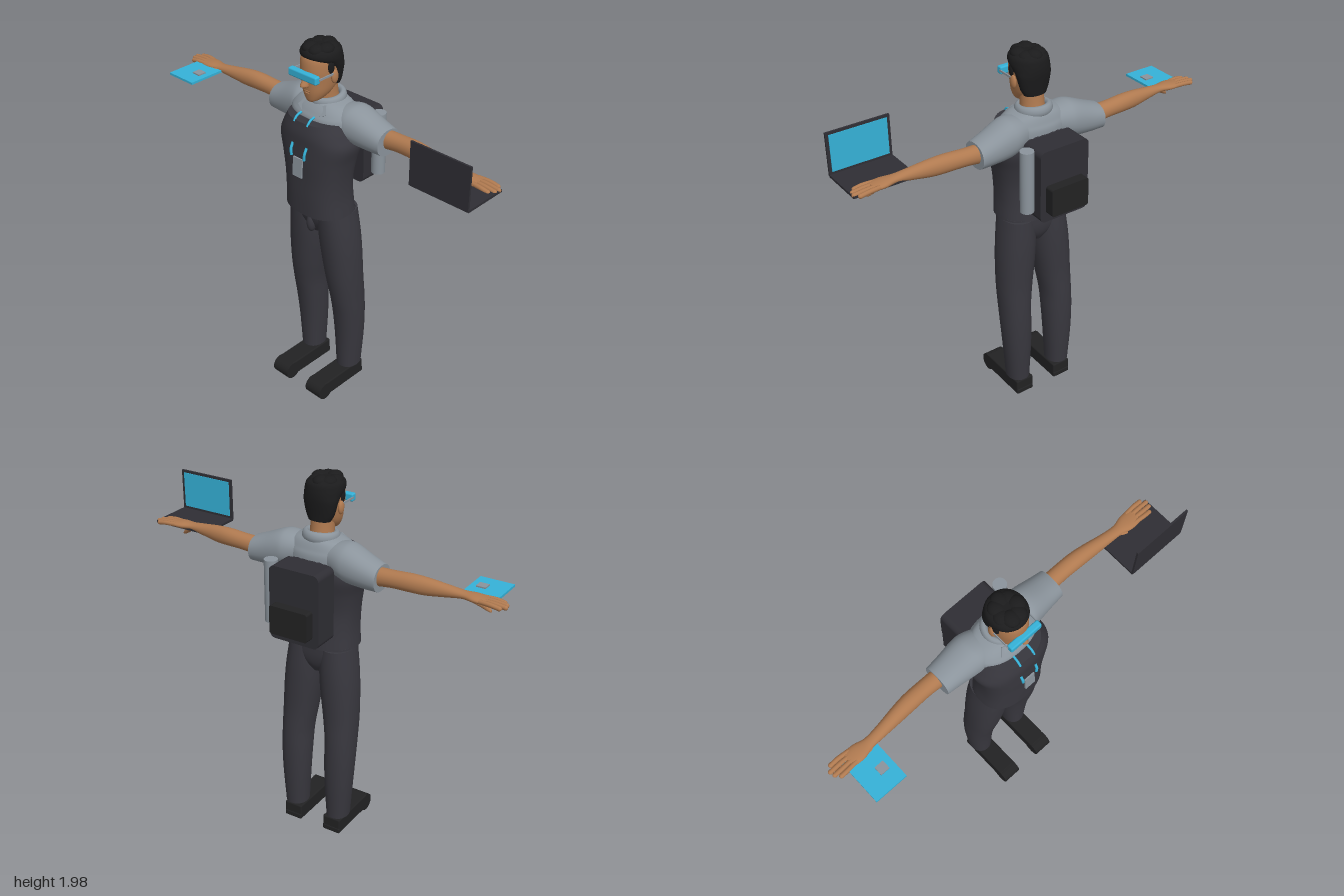
import * as THREE from 'three';
import { RoundedBoxGeometry } from 'three/addons/geometries/RoundedBoxGeometry.js';
import { mergeVertices } from 'three/addons/utils/BufferGeometryUtils.js';

const mat = (name, color) => Object.assign(new THREE.MeshStandardMaterial({ color }), { name });
const V = (x, y, z) => new THREE.Vector3(x, y, z);

// Smooth skin over rows of [t, centre1, centre2, radius1, radius2].
// Along y the pairs are (x, z); along x they are (y, z). Power > 2 squares the section.
function loft(axis, rows, power = 2, sides = 32, steps = 5) {
  const mid = new THREE.CatmullRomCurve3(rows.map(r => V(r[0], r[1], r[2])), false, 'catmullrom');
  const rad = new THREE.CatmullRomCurve3(rows.map(r => V(r[3], r[4], 0)), false, 'catmullrom');
  const n = (rows.length - 1) * steps, pos = [], index = [];
  const sq = v => Math.sign(v) * Math.abs(v) ** (2 / power);
  const ring = j => {
    const c = mid.getPoint(j / n), r = rad.getPoint(j / n), start = pos.length / 3;
    for (let i = 0; i < sides; i++) {
      const a = i / sides * Math.PI * 2, co = sq(Math.cos(a)), si = sq(Math.sin(a));
      if (axis === 'y') pos.push(c.y + r.x * si, c.x, c.z + r.y * co);
      else pos.push(c.x, c.y + r.x * co, c.z + r.y * si);
    }
    return start;
  };
  for (let j = 0; j <= n; j++) ring(j);
  for (let j = 0; j < n; j++) for (let i = 0; i < sides; i++) {
    const k = (i + 1) % sides, a = j * sides + i, b = j * sides + k;
    index.push(a, b, a + sides, b, b + sides, a + sides);
  }
  // End caps
  for (const j of [0, n]) {
    const s = ring(j), c = mid.getPoint(j / n), m = pos.length / 3;
    if (axis === 'y') pos.push(c.y, c.x, c.z); else pos.push(c.x, c.y, c.z);
    for (let i = 0; i < sides; i++) {
      const k = (i + 1) % sides;
      if (j) index.push(m, s + i, s + k); else index.push(m, s + k, s + i);
    }
  }
  const g = new THREE.BufferGeometry();
  g.setAttribute('position', new THREE.Float32BufferAttribute(pos, 3));
  g.setIndex(index);
  g.computeVertexNormals();
  return g;
}

// Mirrored copy of an indexed geometry across x = 0
function mirror(geo) {
  const g = geo.clone().scale(-1, 1, 1), a = g.index.array;
  for (let i = 0; i < a.length; i += 3) [a[i], a[i + 1]] = [a[i + 1], a[i]];
  return g;
}

const box = (x0, x1, y0, y1, z0, z1) => new THREE.BoxGeometry(x1 - x0, y1 - y0, z1 - z0)
  .translate((x0 + x1) / 2, (y0 + y1) / 2, (z0 + z1) / 2);
const rbox = (x0, x1, y0, y1, z0, z1, r) => mergeVertices(new RoundedBoxGeometry(x1 - x0, y1 - y0, z1 - z0, 3, r)
  .translate((x0 + x1) / 2, (y0 + y1) / 2, (z0 + z1) / 2));
const ball = (x, y, z, rx, ry, rz) => new THREE.SphereGeometry(1, 24, 16).scale(rx, ry, rz).translate(x, y, z);
const tube = (r, ...pts) => new THREE.TubeGeometry(new THREE.CatmullRomCurve3(pts), 14, r, 10);

// Slab with rounded corners seen from the front and square edges in depth
function slab(x0, x1, y0, y1, z0, z1, r) {
  const s = new THREE.Shape();
  s.absarc(x1 - r, y1 - r, r, 0, Math.PI / 2);
  s.absarc(x0 + r, y1 - r, r, Math.PI / 2, Math.PI);
  s.absarc(x0 + r, y0 + r, r, Math.PI, Math.PI * 1.5);
  s.absarc(x1 - r, y0 + r, r, Math.PI * 1.5, Math.PI * 2);
  return new THREE.ExtrudeGeometry(s, { depth: z1 - z0, bevelEnabled: false, curveSegments: 6 }).translate(0, 0, z0);
}

export function createModel() {
  const root = new THREE.Group();
  const skin = mat('skin', 0xb07a50), shirt = mat('shirt grey', 0x8b949c), dark = mat('dark cloth', 0x38373e);
  const black = mat('black', 0x222223), hairM = mat('hair', 0x1b1b1c), blue = mat('bright blue', 0x35b2d8);
  const pack = mat('charcoal', 0x2f2e34);
  const add = (name, geo, m) => {
    const o = new THREE.Mesh(geo, m);
    o.name = name;
    root.add(o);
  };
  const pair = (name, geo, m) => { add(name + 'Left', geo, m); add(name + 'Right', mirror(geo), m); };

  // Trousers
  pair('trouserLeg', loft('y', [
    [0.105, 0.13, -0.002, 0.06, 0.068], [0.3, 0.132, -0.003, 0.073, 0.077], [0.45, 0.133, 0.004, 0.079, 0.086],
    [0.57, 0.132, 0.016, 0.081, 0.094], [0.7, 0.123, 0.03, 0.09, 0.1], [0.85, 0.11, 0.038, 0.098, 0.107],
    [0.97, 0.1, 0.044, 0.097, 0.111], [1.1, 0.09, 0.052, 0.088, 0.111]], 2.2), dark);
  add('trouserHips', loft('y', [[0.955, 0, 0.045, 0.03, 0.07], [1.0, 0, 0.047, 0.1, 0.095],
    [1.05, 0, 0.05, 0.172, 0.108], [1.11, 0, 0.052, 0.175, 0.112]], 2.4), dark);
  add('waistband', loft('y', [[1.075, 0, 0.08, 0.095, 0.096], [1.11, 0, 0.08, 0.1, 0.098]], 2.5), shirt);
  add('flyFlap', ball(0, 1.02, 0.142, 0.024, 0.055, 0.028), dark);

  // Shoes: body, sole and round toe
  pair('shoe', rbox(0.07, 0.175, 0.03, 0.098, -0.065, 0.23, 0.008), black);
  pair('sole', rbox(0.07, 0.175, 0.012, 0.045, -0.068, 0.23, 0.008), black);
  pair('shoeToe', new THREE.CylinderGeometry(0.048, 0.048, 0.105, 24).rotateZ(Math.PI / 2)
    .translate(0.1225, 0.048, 0.226), black);

  // Vest and shirt
  add('vest', loft('y', [
    [1.1, 0, 0.075, 0.18, 0.137], [1.2, 0, 0.081, 0.173, 0.134], [1.3, 0, 0.083, 0.177, 0.133],
    [1.4, 0, 0.077, 0.192, 0.143], [1.49, 0, 0.066, 0.213, 0.155], [1.55, 0, 0.062, 0.192, 0.159],
    [1.61, 0, 0.062, 0.16, 0.147]], 2.45, 44), dark);
  add('shirtYoke', loft('y', [
    [1.5, 0, 0.03, 0.19, 0.115], [1.6, 0, 0.035, 0.19, 0.125], [1.64, 0, 0.033, 0.178, 0.112],
    [1.672, 0, 0.028, 0.14, 0.094], [1.692, 0, 0.025, 0.08, 0.075]], 2.2), shirt);
  pair('sleeve', loft('x', [
    [0.08, 1.6, 0.01, 0.07, 0.08], [0.15, 1.595, 0.005, 0.09, 0.098], [0.2, 1.586, 0, 0.096, 0.096],
    [0.29, 1.565, -0.005, 0.08, 0.085], [0.36, 1.552, -0.008, 0.066, 0.078]], 2.2), shirt);
  add('collar', new THREE.TorusGeometry(0.075, 0.019, 12, 36).scale(1, 1, 1.5).rotateX(Math.PI / 2 + 0.12)
    .translate(0, 1.685, 0.025), shirt);
  pair('collarFlap', new THREE.BoxGeometry(0.065, 0.05, 0.012).rotateZ(0.5).rotateX(-0.65)
    .translate(0.05, 1.65, 0.125), shirt);

  // Arms and hands
  pair('arm', loft('x', [
    [0.3, 1.558, -0.015, 0.05, 0.045], [0.42, 1.567, -0.017, 0.043, 0.042], [0.52, 1.57, -0.014, 0.045, 0.042],
    [0.6, 1.568, -0.008, 0.043, 0.038], [0.7, 1.567, 0.002, 0.03, 0.031], [0.78, 1.567, 0.008, 0.019, 0.029],
    [0.84, 1.566, 0.008, 0.018, 0.043], [0.9, 1.565, 0.006, 0.012, 0.042]], 2.1, 24), skin);
  [[-0.03, 0.97], [-0.007, 0.99], [0.017, 0.985], [0.04, 0.965]].forEach(([z, tip], i) => {
    pair('finger' + (i + 1), tube(0.0115, V(0.87, 1.567, 0.006 + (z - 0.006) * 0.85), V(0.93, 1.566, z), V(tip, 1.56, z)), skin);
    pair('fingertip' + (i + 1), ball(tip, 1.56, z, 0.013, 0.0115, 0.0115), skin);
  });
  pair('thumb', loft('x', [
    [0.775, 1.563, 0.02, 0.014, 0.016], [0.81, 1.546, 0.038, 0.021, 0.02], [0.845, 1.522, 0.057, 0.02, 0.015],
    [0.875, 1.5, 0.066, 0.015, 0.012], [0.893, 1.485, 0.07, 0.006, 0.006]], 2, 16), skin);

  // Head
  add('neck', loft('y', [[1.62, 0, 0.02, 0.072, 0.068], [1.7, 0, 0.035, 0.06, 0.062], [1.8, 0, 0.045, 0.06, 0.062]]), skin);
  add('head', loft('y', [
    [1.698, 0, 0.135, 0.018, 0.016], [1.712, 0, 0.112, 0.042, 0.045], [1.75, 0, 0.087, 0.066, 0.078],
    [1.8, 0, 0.072, 0.078, 0.097], [1.86, 0, 0.07, 0.084, 0.104], [1.92, 0, 0.068, 0.08, 0.098],
    [1.95, 0, 0.068, 0.05, 0.065]], 2.15), skin);
  add('nose', loft('y', [[1.782, 0, 0.168, 0.014, 0.016], [1.792, 0, 0.178, 0.018, 0.026],
    [1.82, 0, 0.17, 0.011, 0.02], [1.86, 0, 0.165, 0.009, 0.012]], 2, 16), skin);
  add('upperLip', ball(0, 1.758, 0.158, 0.024, 0.006, 0.01), skin);
  add('lowerLip', ball(0, 1.747, 0.157, 0.02, 0.006, 0.01), skin);
  pair('ear', ball(0.086, 1.826, 0.066, 0.013, 0.034, 0.021), skin);

  // Hair: one cap down to the nape, sideburns and wavy locks on top
  add('hairCap', loft('y', [
    [1.765, 0, 0.012, 0.06, 0.036], [1.8, 0, 0.018, 0.077, 0.046], [1.86, 0, 0.024, 0.09, 0.06],
    [1.89, 0, 0.042, 0.094, 0.08], [1.92, 0, 0.064, 0.097, 0.1], [1.95, 0, 0.067, 0.088, 0.095],
    [1.972, 0, 0.066, 0.055, 0.066]], 2.1), hairM);
  pair('sideburn', ball(0.082, 1.88, 0.085, 0.01, 0.035, 0.02), hairM);
  for (let i = 0; i < 7; i++) {
    const a = i / 7 * Math.PI * 2 + 0.45;
    add('lock' + (i + 1), ball(0.045 * Math.sin(a), 1.952 + 0.004 * Math.sin(i * 2.3), 0.07 + 0.05 * Math.cos(a),
      0.04, 0.029, 0.044), hairM);
  }

  // Visor with temple arms
  add('visor', rbox(-0.09, 0.09, 1.822, 1.862, 0.165, 0.198, 0.008), blue);
  pair('visorArm', box(0.086, 0.092, 1.838, 1.848, 0.06, 0.175), shirt);

  // Lanyard and badge
  pair('lanyardTop', tube(0.006, V(0.042, 1.632, 0.16), V(0.043, 1.622, 0.19), V(0.043, 1.6, 0.209)), blue);
  pair('lanyardEnd', tube(0.007, V(0.046, 1.492, 0.216), V(0.045, 1.46, 0.231), V(0.042, 1.428, 0.232)), blue);
  add('badge', new THREE.BoxGeometry(0.06, 0.1, 0.008).rotateX(-0.08).translate(0, 1.375, 0.233), shirt);

  // Backpack with pocket and bottle
  add('backpack', slab(-0.144, 0.137, 1.2, 1.585, -0.226, -0.087, 0.03), pack);
  add('backpackPocket', slab(-0.11, 0.105, 1.25, 1.4, -0.277, -0.22, 0.012), black);
  add('bottle', new THREE.CylinderGeometry(0.035, 0.035, 0.33, 28).translate(0.17, 1.418, -0.16), shirt);

  // Laptop on the left hand, its screen facing back
  add('laptopBase', box(0.675, 1, 1.55, 1.562, -0.02, 0.215), pack);
  add('laptopLid', box(0.675, 1, 1.555, 1.775, 0.21, 0.22), pack);
  add('laptopScreen', box(0.69, 0.985, 1.575, 1.762, 0.207, 0.211), blue);

  // Tablet under the right hand
  add('tablet', box(-0.93, -0.755, 1.555, 1.567, 0, 0.235), blue);
  add('tabletPatch', box(-0.837, -0.788, 1.566, 1.574, 0.113, 0.159), shirt);

  return root;
}
